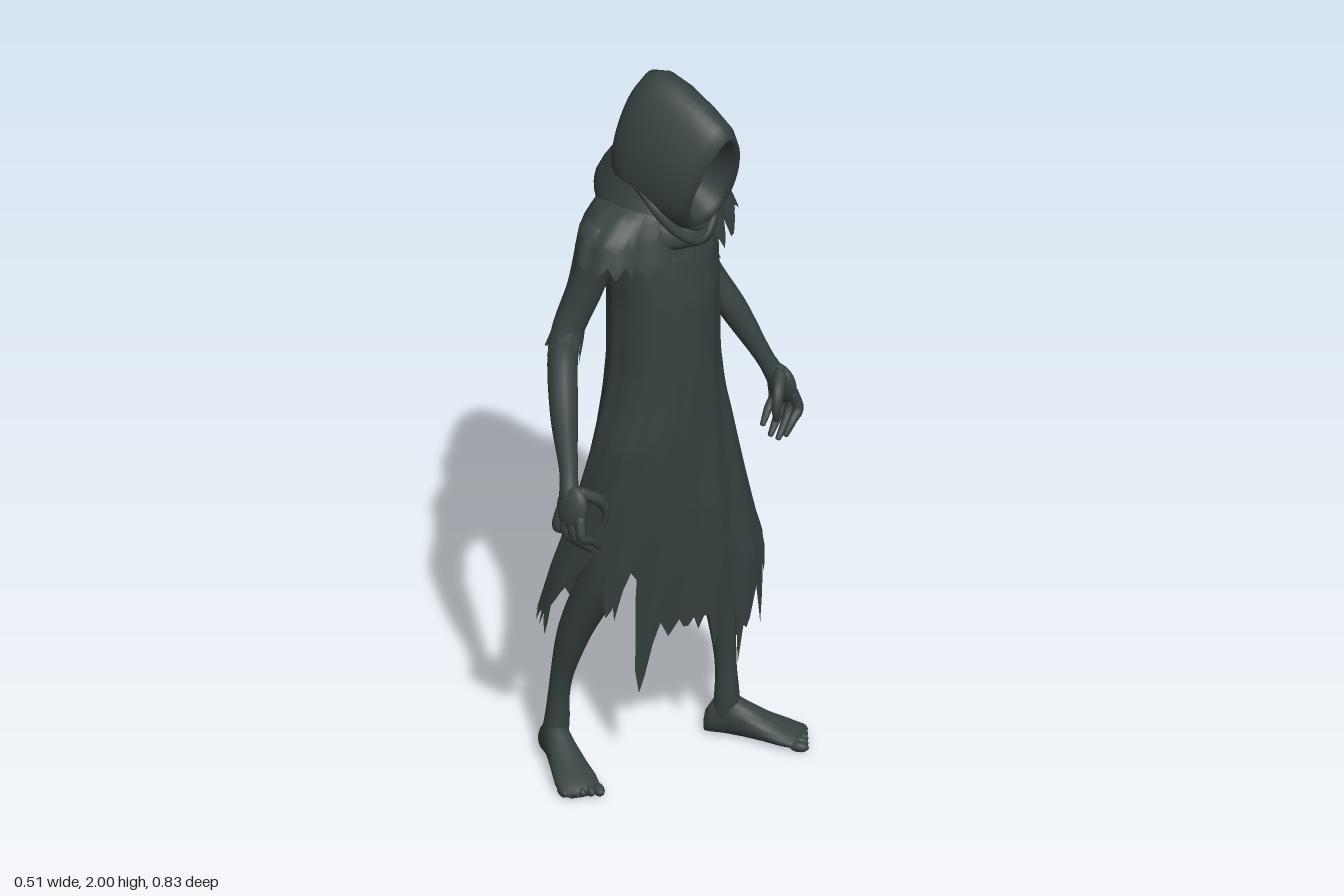
import * as THREE from 'three';

const TAU = Math.PI * 2;
const V = (x, y, z) => new THREE.Vector3(x, y, z);

// small seeded random source
function seeded(seed) {
  return () => {
    seed = (seed * 16807) % 2147483647;
    return seed / 2147483647;
  };
}

// skin a list of closed point rings
function loft(rings) {
  const n = rings[0].length, pos = [], idx = [];
  rings.forEach(r => r.forEach(p => pos.push(p.x, p.y, p.z)));
  for (let i = 0; i < rings.length - 1; i++) {
    for (let j = 0; j < n; j++) {
      const a = i * n + j, b = i * n + (j + 1) % n, c = a + n, d = b + n;
      idx.push(a, b, c, b, d, c);
    }
  }
  const g = new THREE.BufferGeometry();
  g.setAttribute('position', new THREE.Float32BufferAttribute(pos, 3));
  g.setIndex(idx);
  g.computeVertexNormals();
  return g;
}

// ring of n points from a function of the angle
const ring = (n, f) => Array.from({ length: n }, (_, j) => f(j / n * TAU, j));

// rounded limb through points [x, y, z, radius]
function limb(pts, steps = 24, sides = 14) {
  const path = new THREE.CatmullRomCurve3(pts.map(p => V(p[0], p[1], p[2])));
  const radii = new THREE.CatmullRomCurve3(pts.map(p => V(p[3], 0, 0)), false, 'catmullrom', 0.5);
  const fr = path.computeFrenetFrames(steps);
  const rings = [];
  const add = (i, k, push) => {
    const u = i / steps, c = path.getPointAt(u).addScaledVector(fr.tangents[i], push);
    const r = radii.getPoint(path.getUtoTmapping(u)).x * k;
    rings.push(ring(sides, a => c.clone()
      .addScaledVector(fr.normals[i], Math.cos(a) * r)
      .addScaledVector(fr.binormals[i], Math.sin(a) * r)));
  };
  const e0 = pts[0][3] * 0.6, e1 = pts[pts.length - 1][3] * 0.6;
  add(0, 0.001, -e0);
  add(0, 0.7, -e0 * 0.7);
  for (let i = 0; i <= steps; i++) add(i, 1, 0);
  add(steps, 0.7, e1 * 0.7);
  add(steps, 0.001, e1);
  return loft(rings);
}

// linear lookup in rows sorted by falling height
function rowAt(rows, y) {
  let i = 0;
  while (i < rows.length - 2 && y < rows[i + 1][0]) i++;
  const t = THREE.MathUtils.clamp((rows[i][0] - y) / (rows[i][0] - rows[i + 1][0]), 0, 1);
  return rows[i].map((v, k) => v + (rows[i + 1][k] - v) * t);
}

// hanging cloth: rows [y, xBack, xFront, zHalf, skew, zCentre] with a torn hem
function cloth(rows, cols, steps, hem, tear, fold, seed) {
  const rnd = seeded(seed), cut = [];
  while (cut.length < cols) {
    const w = 2 + Math.floor(rnd() * 4), depth = tear * (0.25 + rnd() * rnd() * 1.4);
    for (let k = 0; k < w; k++) cut.push(depth * (1 - Math.abs(k - w / 2) / (w / 2)));
  }
  const top = rows[0][0], rings = [];
  for (let i = 0; i <= steps; i++) {
    const t = i / steps;
    rings.push(ring(cols, (a, j) => {
      const y = top + (hem(a > Math.PI ? a - TAU : a) - cut[j] - top) * t;
      const [, xb, xf, zh, skew, zc] = rowAt(rows, y);
      const k = 1 + fold * Math.sqrt(t) * (Math.sin(a * 9 + 1 + y * 2) + 0.7 * Math.sin(a * 14 + y * 5));
      const z = Math.sin(a) * zh * k;
      return V((xb + xf) / 2 + Math.cos(a) * (xf - xb) / 2 * k - skew * z, y, z + zc);
    }));
  }
  return loft(rings);
}

export function createModel() {
  const model = new THREE.Group();
  const dusk = new THREE.MeshStandardMaterial({ color: 0x374240, side: THREE.DoubleSide });
  dusk.name = 'dark grey green';
  const add = (name, geo, parent = model) => {
    const m = new THREE.Mesh(geo, dusk);
    m.name = name;
    parent.add(m);
    return m;
  };
  const bump = (a, at, w) => Math.exp(-(((a - at) / w) ** 2));

  // long robe, skewed toward the trailing left leg, with raised sides, slits and long tatters
  add('robe', cloth([
    [1.67, -0.05, 0.05, 0.07, 0, 0], [1.61, -0.10, 0.10, 0.16, 0, 0],
    [1.52, -0.105, 0.14, 0.165, 0, 0], [1.4, -0.10, 0.158, 0.15, 0, 0],
    [1.2, -0.10, 0.16, 0.15, 0, 0], [1.1, -0.1, 0.16, 0.163, 0.04, 0],
    [1.0, -0.1, 0.16, 0.184, 0.1, 0], [0.8, -0.128, 0.162, 0.207, 0.25, -0.01],
    [0.6, -0.153, 0.152, 0.24, 0.4, -0.02], [0.4, -0.202, 0.132, 0.252, 0.46, -0.025],
    [0.28, -0.22, 0.118, 0.252, 0.47, -0.03],
  ], 144, 48, a => 0.47 + 0.23 * bump(a, 1.25, 0.38) + 0.15 * bump(a, -1.15, 0.33)
    + 0.2 * bump(a, 0.72, 0.07) - 0.12 * bump(a, 0.54, 0.07) - 0.08 * bump(a, -0.5, 0.08)
    - 0.08 * bump(a, 2.45, 0.12) - 0.03 * bump(Math.abs(a), Math.PI, 0.9), 0.13, 0.018, 77));

  // torn shoulder cape
  add('shoulderCape', cloth([
    [1.69, -0.06, 0.07, 0.08, 0, 0], [1.655, -0.11, 0.11, 0.17, 0, 0],
    [1.605, -0.128, 0.125, 0.23, 0, 0], [1.54, -0.135, 0.142, 0.255, 0, 0],
    [1.48, -0.138, 0.152, 0.262, 0, 0], [1.38, -0.14, 0.158, 0.25, 0, 0],
  ], 96, 14, a => 1.555 - 0.05 * bump(Math.abs(a), Math.PI, 1), 0.095, 0.02, 4211));

  // hood: rows of top x, top y, bottom x, bottom y, half width, from recess to back
  add('hood', loft([
    [0.07, 1.85, 0.06, 1.69, 0.065], [0.18, 1.865, 0.12, 1.67, 0.063], [0.225, 1.88, 0.155, 1.64, 0.07],
    [0.246, 1.892, 0.165, 1.62, 0.08], [0.222, 1.924, 0.145, 1.605, 0.095], [0.16, 1.957, 0.1, 1.6, 0.108],
    [0.09, 1.987, 0.04, 1.6, 0.114], [0.03, 2.0, -0.01, 1.6, 0.114], [-0.015, 1.985, -0.04, 1.62, 0.107],
    [-0.042, 1.945, -0.065, 1.65, 0.092], [-0.06, 1.88, -0.08, 1.7, 0.068], [-0.07, 1.82, -0.08, 1.76, 0.03],
    [-0.074, 1.79, -0.074, 1.79, 0],
  ].map(([tx, ty, bx, by, w]) => ring(40, a => {
    const c = Math.cos(a);
    return V((tx + bx) / 2 + c * (tx - bx) / 2, (ty + by) / 2 + c * (ty - by) / 2, -Math.sin(a) * w * (1 - 0.22 * c));
  }))));

  // shadowed face deep inside the hood
  const face = add('face', new THREE.SphereGeometry(1, 24, 18));
  face.scale.set(0.065, 0.1, 0.056);
  face.position.set(0.085, 1.765, 0);

  // cowl: rows of centre y, back x, front x, half width, forward slope
  add('cowl', loft([
    [1.715, -0.066, 0.135, 0.112, 0.1], [1.68, -0.105, 0.152, 0.127, 0.075], [1.65, -0.135, 0.16, 0.14, 0.06],
    [1.625, -0.15, 0.162, 0.146, 0.055], [1.6, -0.138, 0.156, 0.135, 0.045], [1.585, -0.08, 0.1, 0.09, 0.03],
  ].map(([y, xb, xf, w, slope]) => ring(48, a => V(
    (xb + xf) / 2 + Math.cos(a) * (xf - xb) / 2,
    y - slope * Math.cos(a) + 0.006 * Math.sin(a * 5), Math.sin(a) * w)))));

  // draped folds under the chin
  [[0, 0.013], [0.04, 0.01]].forEach(([up, r]) => add('neckFold', limb([
    [0.04, 1.73 + up, 0.108, r * 0.5], [0.1, 1.67 + up, 0.098, r], [0.142, 1.6 + up, 0.055, r], [0.153, 1.57 + up, 0, r],
    [0.142, 1.6 + up, -0.055, r], [0.1, 1.67 + up, -0.098, r], [0.04, 1.73 + up, -0.108, r * 0.5],
  ], 36, 10)));

  for (const s of [1, -1]) {
    const side = s > 0 ? 'left' : 'right';

    // arm with torn elbow band
    const arm = new THREE.Group();
    arm.name = side + 'Arm';
    model.add(arm);
    add('arm', limb([
      [-0.02, 1.6, 0.17 * s, 0.058], [-0.045, 1.45, 0.2 * s, 0.046], [-0.068, 1.3, 0.253 * s, 0.039],
      [-0.015, 1.15, 0.315 * s, 0.035], [0.04, 1.02, 0.36 * s, 0.023], [0.06, 0.965, 0.38 * s, 0.026],
    ], 32, 16), arm);
    const sleeve = add('elbowRag', cloth([
      [0.04, -0.037, 0.037, 0.037, 0, 0], [0, -0.043, 0.04, 0.042, 0, 0], [-0.07, -0.06, 0.044, 0.054, 0, 0],
    ], 30, 5, () => 0.005, 0.055, 0.04, 900 + s), arm);
    sleeve.position.set(-0.065, 1.31, 0.248 * s);
    sleeve.rotation.x = -0.35 * s;

    // curled hand
    const hand = new THREE.Group();
    hand.name = side + 'Hand';
    model.add(hand);
    const palm = add('palm', new THREE.SphereGeometry(1, 18, 14), hand);
    palm.scale.set(0.045, 0.058, 0.024);
    palm.position.set(0.075, 0.945, 0.386 * s);
    palm.rotation.x = -0.2 * s;
    for (let i = 0; i < 4; i++) {
      const drop = i === 0 || i === 3 ? 0.02 : 0;
      add('finger', limb([
        [0.043 + 0.021 * i, 0.93, 0.391 * s, 0.014], [0.038 + 0.027 * i, 0.88, 0.399 * s, 0.013],
        [0.043 + 0.027 * i, 0.845 + drop, 0.375 * s, 0.011], [0.05 + 0.025 * i, 0.812 + drop, 0.345 * s, 0.007],
      ], 12, 8), hand);
    }
    add('thumb', limb([
      [0.085, 0.985, 0.372 * s, 0.017], [0.115, 0.955, 0.33 * s, 0.015],
      [0.122, 0.92, 0.314 * s, 0.012], [0.118, 0.885, 0.318 * s, 0.007],
    ], 12, 8), hand);
  }

  // legs: left trails, right leads
  add('leftLeg', limb([
    [0, 0.85, 0.09, 0.075], [-0.035, 0.62, 0.13, 0.06], [-0.128, 0.4, 0.145, 0.043],
    [-0.18, 0.22, 0.142, 0.027], [-0.192, 0.1, 0.142, 0.032], [-0.2, 0.05, 0.145, 0.034],
  ], 30, 16));
  add('rightLeg', limb([
    [0.02, 0.85, -0.1, 0.075], [0.06, 0.6, -0.17, 0.06], [0.04, 0.4, -0.2, 0.042],
    [0.045, 0.22, -0.213, 0.027], [0.045, 0.1, -0.218, 0.032], [0.037, 0.05, -0.22, 0.034],
  ], 30, 16));

  // bare feet with toes: rows of distance, half width, height
  for (const [side, x, z, turn] of [['left', -0.195, 0.145, -0.5], ['right', 0.04, -0.22, 0.47]]) {
    const foot = new THREE.Group();
    foot.name = side + 'Foot';
    foot.position.set(x, 0, z);
    foot.rotation.y = turn;
    model.add(foot);
    add('foot', loft([
      [-0.056, 0.001, 0.03], [-0.05, 0.022, 0.06], [-0.03, 0.033, 0.095], [0.01, 0.034, 0.118], [0.05, 0.038, 0.095],
      [0.1, 0.046, 0.068], [0.15, 0.054, 0.047], [0.187, 0.052, 0.034], [0.198, 0.035, 0.022], [0.2, 0.001, 0.012],
    ].map(([d, w, h]) => ring(20, a => V(d, Math.max(0.004, h / 2 + Math.cos(a) * h / 2), Math.sin(a) * w)))), foot);
    for (let i = 0; i < 5; i++) {
      const k = side === 'left' ? i : 4 - i;
      const toe = add('toe', new THREE.SphereGeometry(1, 12, 8), foot);
      toe.scale.set(0.025, 0.014, i === 0 ? 0.015 : 0.012);
      toe.position.set(0.196 - i * 0.006, 0.015, (k - 2) * 0.021);
    }
  }
  return model;
}
